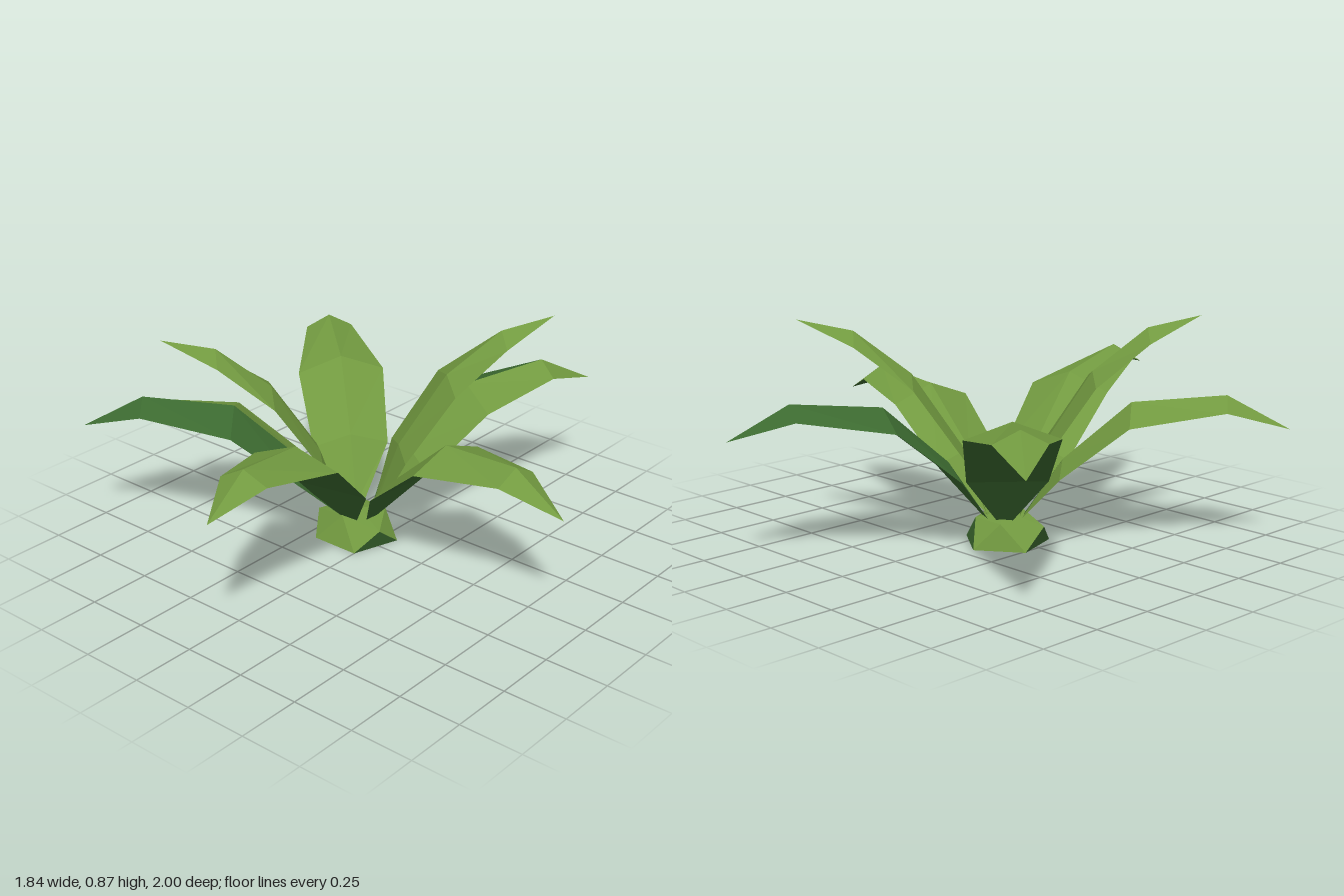
import * as THREE from 'three';

const light = new THREE.MeshStandardMaterial({ color: 0x729a40 });
light.name = 'leafGreen';
const dark = new THREE.MeshStandardMaterial({ color: 0x3c6a30 });
dark.name = 'shadeGreen';

const CX = -0.09, CZ = -0.03; // plant axis

// Faceted mesh from a list of triangles
function facetMesh(name, triangles, material) {
  const geometry = new THREE.BufferGeometry().setFromPoints(triangles.flat());
  geometry.computeVertexNormals();
  const mesh = new THREE.Mesh(geometry, material);
  mesh.name = name;
  return mesh;
}

// Cross-sections: [reach, ridge height, edge height, half width]
const outerProfile = [
  [0.07, 0.1, 0.1, 0.03],
  [0.21, 0.325, 0.28, 0.152],
  [0.45, 0.545, 0.48, 0.175],
  [0.78, 0.57, 0.52, 0.095],
  [1.0, 0.44, 0.44, 0],
];
const innerProfile = [
  [0.06, 0.1, 0.1, 0.03],
  [0.155, 0.38, 0.35, 0.125],
  [0.34, 0.66, 0.62, 0.14],
  [0.55, 0.825, 0.775, 0.085],
  [0.755, 0.87, 0.87, 0],
];

// Strip of faces joining two neighbouring edges along the leaf
function strip(lefts, rights) {
  const faces = [];
  for (let i = 0; i < lefts.length - 1; i++) {
    faces.push([lefts[i], rights[i], rights[i + 1]]);
    if (i < lefts.length - 2) faces.push([lefts[i], rights[i + 1], lefts[i + 1]]);
  }
  return faces;
}

// Leaf with a triangular section: two sloping top halves and a flat underside
function makeLeaf(name, profile, tipX, tipZ, lift, leftMaterial, underMaterial) {
  const dx = tipX - CX, dz = tipZ - CZ;
  const length = Math.hypot(dx, dz);
  const ux = dx / length, uz = dz / length;
  const stretch = length / profile[profile.length - 1][0];
  const [left, ridge, right] = [-1, 0, 1].map((side) =>
    profile.map(([reach, ridgeY, edgeY, half]) => new THREE.Vector3(
      CX + ux * reach * stretch - uz * half * side,
      (side === 0 ? ridgeY : edgeY) + lift * (reach - profile[0][0]),
      CZ + uz * reach * stretch + ux * half * side)));
  const leaf = new THREE.Group();
  leaf.name = name;
  leaf.add(
    facetMesh('leftHalf', strip(left, ridge), leftMaterial),
    facetMesh('rightHalf', strip(ridge, right), light),
    facetMesh('underside', strip(right, left), underMaterial));
  return leaf;
}

// Five-sided faceted root crown, one lower edge facing the front
function makeCrown() {
  const point = (radius, y, step) => {
    const a = Math.PI / 2 + step * Math.PI * 2 / 5;
    return new THREE.Vector3(CX - 0.01 + radius * Math.cos(a), y, CZ + radius * Math.sin(a));
  };
  const low = [0, 1, 2, 3, 4].map((i) => point(0.17, 0, i - 0.5));
  // Upper corners: front, left of front, back pair, right of front
  const high = [[0.09, 0.115], [0.165, 0.08], [0.115, 0.1], [0.115, 0.1], [0.165, 0.08]]
    .map(([radius, y], i) => point(radius, y, i));
  const apex = new THREE.Vector3(CX, 0.12, CZ);
  const hollow = new THREE.Vector3(CX, 0.06, CZ);
  const lightFaces = [], darkFaces = [];
  for (let i = 0; i < 5; i++) {
    const j = (i + 1) % 5;
    (i === 1 || i > 2 ? darkFaces : lightFaces).push([low[i], high[i], low[j]]);
    lightFaces.push([low[j], high[i], high[j]]);
    lightFaces.push([apex, high[j], high[i]]);
    lightFaces.push([hollow, low[i], low[j]]);
  }
  const crown = new THREE.Group();
  crown.name = 'rootCrown';
  crown.add(facetMesh('crownBody', lightFaces, light), facetMesh('crownSideFaces', darkFaces, dark));
  return crown;
}

export function createModel() {
  const plant = new THREE.Group();
  plant.name = 'plant';
  plant.add(makeCrown());

  // Spreading outer leaves: tip x, tip z, lift, colour of the left half
  [
    [0.92, 0.06, 0, light],
    [0.12, 1.0, 0.105, light],
    [-0.92, 0.64, 0.03, dark],
    [-0.88, -0.71, 0.08, light],
    [0.33, -1.0, 0.04, dark],
  ].forEach((leaf, i) => plant.add(makeLeaf(`outerLeaf${i + 1}`, outerProfile, ...leaf, dark)));

  // Two upright inner leaves
  plant.add(makeLeaf('innerLeaf1', innerProfile, 0.39, -0.63, 0, light, light));
  plant.add(makeLeaf('innerLeaf2', innerProfile, -0.585, 0.52, 0, light, light));
  return plant;
}
